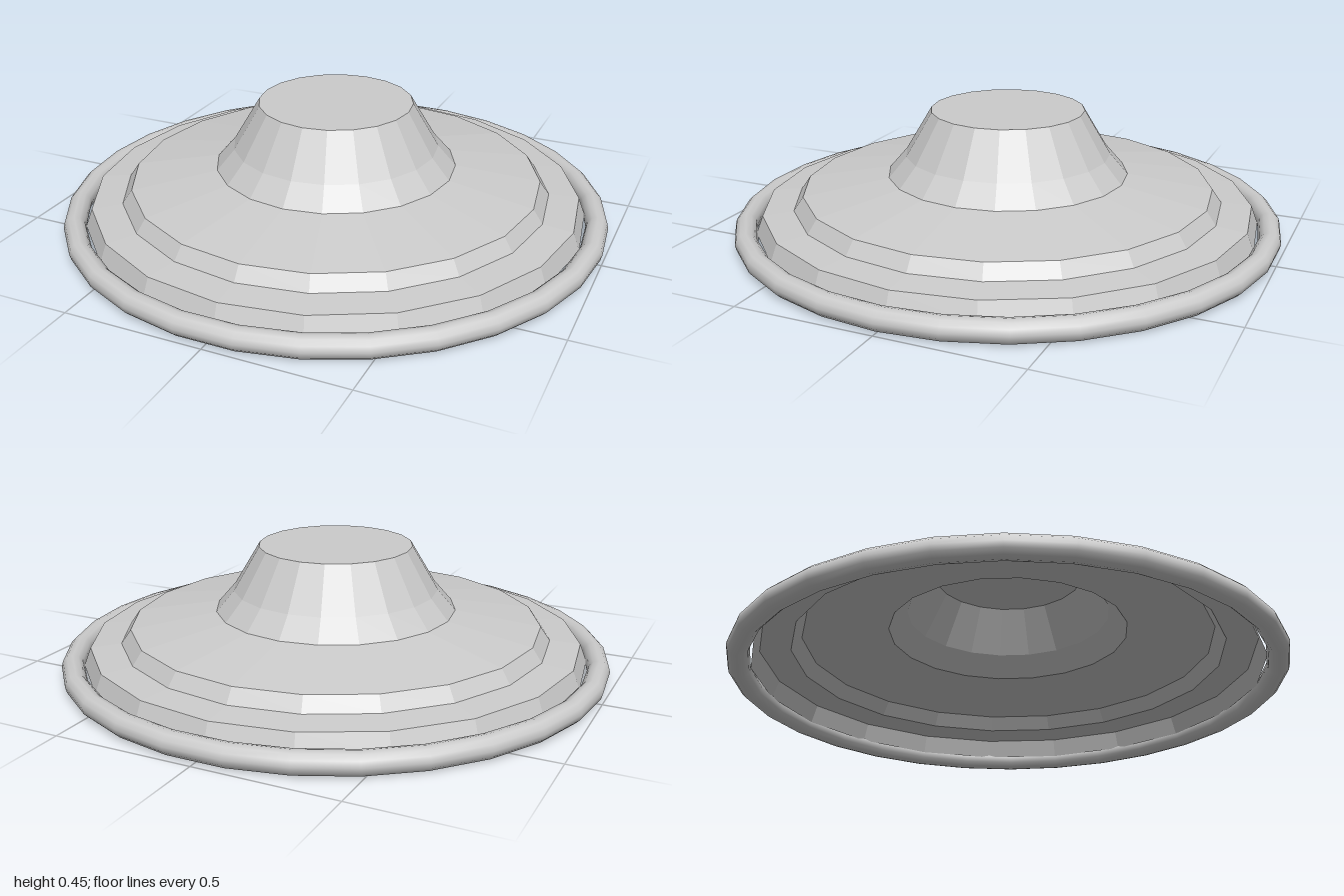
import * as THREE from 'three';

export function createModel() {
  const group = new THREE.Group();
  group.name = 'steppedDisc';

  // Thin faceted shell, open below: outer lip, step, sloped disc, flared crown, flat cap
  const profile = [
    [0.92, 0.04], [0.895, 0.105], [0.785, 0.115], [0.75, 0.165],
    [0.44, 0.215], [0.375, 0.29], [0.28, 0.45], [0, 0.45],
  ].map(([r, y]) => new THREE.Vector2(r, y));
  const shell = new THREE.Mesh(
    new THREE.LatheGeometry(profile, 20),
    new THREE.MeshStandardMaterial({ color: 0xcccccc, flatShading: true, side: THREE.DoubleSide })
  );
  shell.name = 'shell';
  group.add(shell);

  // Rounded ring around the lip
  const ringGeometry = new THREE.TorusGeometry(0.96, 0.04, 12, 30);
  ringGeometry.rotateX(-Math.PI / 2);
  const ring = new THREE.Mesh(ringGeometry, new THREE.MeshStandardMaterial({ color: 0xcccccc }));
  ring.name = 'rimRing';
  ring.position.y = 0.04;
  group.add(ring);

  return group;
}
